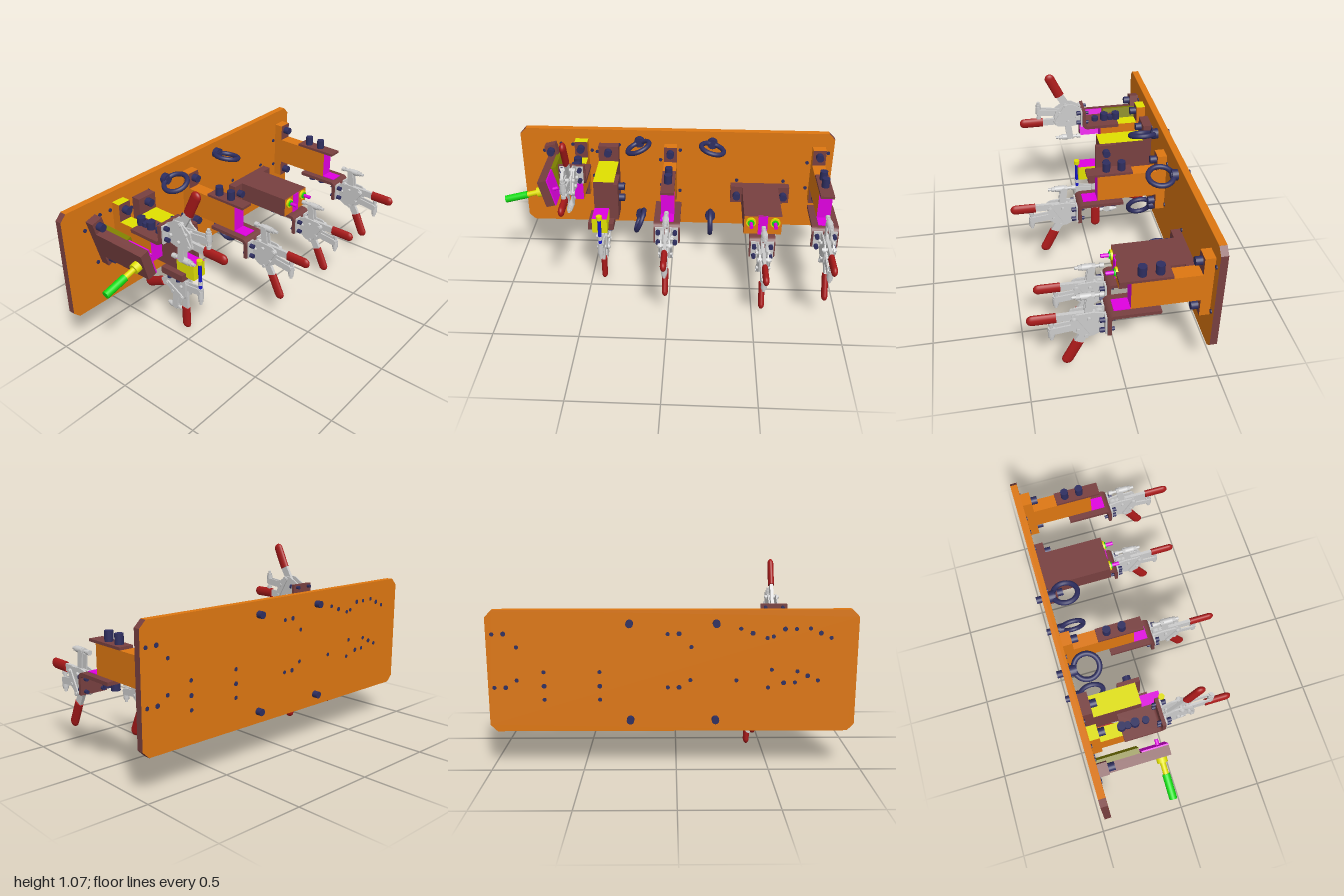
import * as THREE from 'three';

const mat = (color) => new THREE.MeshStandardMaterial({ color });
const GREY = mat(0xcccccc), ORANGE = mat(0xdd7711), BROWN = mat(0x784040), NAVY = mat(0x2e2e60);
const RED = mat(0xaa1a1a), YELLOW = mat(0xe0e000), OLIVE = mat(0x808000), GREEN = mat(0x11dd11);
const BLUE = mat(0x1515cc), MAGENTA = mat(0xe000e0);
const PLATE_Z = -0.43;

function add(parent, name, geo, material) {
  const m = new THREE.Mesh(geo, material);
  m.name = name;
  parent.add(m);
  return m;
}
// Box from min/max ranges; material may be a list for +x,-x,+y,-y,+z,-z
function box(parent, name, material, [x0, x1], [y0, y1], [z0, z1]) {
  const m = add(parent, name, new THREE.BoxGeometry(x1 - x0, y1 - y0, z1 - z0), material);
  m.position.set((x0 + x1) / 2, (y0 + y1) / 2, (z0 + z1) / 2);
  return m;
}
// Cylinder between two points
function rod(parent, name, material, a, b, r, sides = 20) {
  const p = new THREE.Vector3(...a), q = new THREE.Vector3(...b), d = q.clone().sub(p);
  const m = add(parent, name, new THREE.CylinderGeometry(r, r, d.length(), sides), material);
  m.position.copy(p).add(q).multiplyScalar(0.5);
  m.quaternion.setFromUnitVectors(new THREE.Vector3(0, 1, 0), d.normalize());
  return m;
}
// Shape in the (z, y) plane extruded across x
function sideProfile(parent, name, material, shape, width, x = 0) {
  const geo = new THREE.ExtrudeGeometry(shape, { depth: width, bevelEnabled: false, curveSegments: 8 });
  geo.rotateY(-Math.PI / 2).translate(width / 2 + x, 0, 0);
  return add(parent, name, geo, material);
}
// Round-ended flat bar between two (z, y) points
function link(parent, name, material, p, q, r, width, x = 0) {
  const dir = Math.atan2(q[1] - p[1], q[0] - p[0]), s = new THREE.Shape();
  s.absarc(p[0], p[1], r, dir + Math.PI / 2, dir + Math.PI * 1.5);
  s.absarc(q[0], q[1], r, dir - Math.PI / 2, dir + Math.PI / 2);
  return sideProfile(parent, name, material, s, width, x);
}
// Flattened rounded red grip between two (z, y) points
function grip(parent, p, q) {
  const r = 0.03, d = new THREE.Vector3(0, q[1] - p[1], q[0] - p[0]), L = d.length();
  const m = add(parent, 'grip', new THREE.CapsuleGeometry(r, L - 2 * r, 8, 16), RED);
  // squared-off lower end
  const cuff = add(m, 'gripCuff', new THREE.CylinderGeometry(r, r, r, 16), RED);
  cuff.position.y = -L / 2 + r / 2;
  m.position.set(0, (p[1] + q[1]) / 2, (p[0] + q[0]) / 2);
  m.rotation.x = Math.atan2(d.z, d.y);
  m.scale.x = 0.6;
}
// Clamping spindle: a = tip, b = head
function spindle(parent, a, b) {
  const at = (t) => a.map((v, i) => v + (b[i] - v) * t);
  rod(parent, 'spindle', GREY, a, b, 0.009);
  rod(parent, 'spindleTip', GREY, a, at(0.15), 0.014);
  rod(parent, 'spindleNut', GREY, at(0.3), at(0.42), 0.018, 6);
  rod(parent, 'spindleHolder', GREY, at(0.42), at(0.75), 0.018);
  rod(parent, 'spindleNut', GREY, at(0.75), at(0.87), 0.016, 6);
}

// Toggle clamp on the face z = 0: y = 0 at the free edge of its mount, +y to the work
function toggleClamp() {
  const g = new THREE.Group();
  g.name = 'toggleClamp';
  for (const s of [-1, 1]) {
    box(g, 'baseFoot', GREY, s > 0 ? [0.018, 0.068] : [-0.068, -0.018], [0.003, 0.11], [0, 0.01]);
    for (const y of [0.018, 0.085]) {
      rod(g, 'baseBolt', NAVY, [s * 0.05, y, 0.01], [s * 0.05, y, 0.035], 0.013);
      rod(g, 'baseBoltEnd', NAVY, [s * 0.05, y, -0.04], [s * 0.05, y, 0], 0.01);
    }
    const cheek = new THREE.Shape([[0, 0], [0.06, -0.035], [0.1, -0.04], [0.165, 0.005], [0.18, 0.09],
      [0.15, 0.115], [0.06, 0.12], [0, 0.105]].map((p) => new THREE.Vector2(...p)));
    sideProfile(g, 'bodyCheek', GREY, cheek, 0.009, s * 0.024);
    link(g, 'openArmBar', GREY, [0.1, 0.03], [0.26, 0.012], 0.02, 0.008, s * 0.014);
    link(g, 'closedArmBar', GREY, [0.09, 0.08], [0.075, 0.2], 0.02, 0.008, s * 0.014);
    link(g, 'toggleLink', GREY, [0.1, -0.02], [0.16, 0.085], 0.016, 0.008, s * 0.033);
  }
  for (const [z, y] of [[0.1, -0.025], [0.14, 0.02], [0.16, 0.088], [0.085, 0.085], [0.03, 0.06]]) {
    rod(g, 'pivotPin', GREY, [-0.042, y, z], [0.042, y, z], 0.011, 14);
  }
  link(g, 'handleBar', GREY, [0.03, 0.09], [0.15, -0.115], 0.023, 0.018);
  grip(g, [0.135, -0.09], [0.205, -0.235]);
  link(g, 'handleBar', GREY, [0.06, 0.088], [0.26, 0.088], 0.021, 0.018);
  grip(g, [0.245, 0.088], [0.392, 0.088]);
  spindle(g, [0, 0.21, 0.005], [0, 0.21, 0.165]);
  spindle(g, [0, 0.06, 0.27], [0, -0.055, 0.27]);
  return g;
}

// Bent L bracket carrying the clamp
function clampBracket(parent, length = 0.25) {
  const s = new THREE.Shape(), t = 0.02, h = 0.125, R = 0.035;
  s.moveTo(0, 0);
  s.lineTo(0, h - R);
  s.absarc(-R, h - R, R, 0, Math.PI / 2);
  s.lineTo(-length, h);
  s.lineTo(-length, h - t);
  s.lineTo(-R, h - t);
  s.absarc(-R, h - R, R - t, Math.PI / 2, 0, true);
  s.lineTo(-t, 0);
  sideProfile(parent, 'clampBracket', BROWN, s, 0.155);
  for (const z of [-0.15, -0.225]) rod(parent, 'bracketBolt', NAVY, [0, h - t - 0.045, z], [0, h - t, z], 0.024);
}

// Bolt through a flange and the back plate
function flangeBolt(parent, x, y, plateZ, r = 0.023) {
  rod(parent, 'flangeBolt', NAVY, [x, y, plateZ + 0.055], [x, y, plateZ + 0.092], r);
  rod(parent, 'flangeBoltEnd', NAVY, [x, y, plateZ - 0.041], [x, y, plateZ - 0.03], 0.013);
}
function dowel(parent, x, y, plateZ) {
  rod(parent, 'dowel', NAVY, [x, y, plateZ - 0.041], [x, y, plateZ + 0.006], 0.011, 14);
}

// Arm with rest pad, stop plate, bracket and clamp; D = distance from plate to bracket face
function armStation(x, y, z, flipped) {
  const g = new THREE.Group(), D = z - PLATE_Z, w = [-0.04, 0.04];
  g.name = 'armStation';
  const low = flipped ? YELLOW : ORANGE;
  box(g, 'flange', [ORANGE, ORANGE, ORANGE, low, BROWN, ORANGE], w, [0.02, 0.39], [-D, 0.055 - D]);
  box(g, 'arm', [ORANGE, ORANGE, ORANGE, low, MAGENTA, ORANGE], w, [0.126, 0.29], [0.05 - D, -0.12]);
  box(g, 'restPad', MAGENTA, w, [0.125, 0.129], [-0.12, -0.035]);
  if (!flipped) {
    box(g, 'stopPlate', BROWN, w, [0.29, 0.305], [-0.33, -0.06]);
    for (const v of [-0.18, -0.27]) rod(g, 'stopBolt', NAVY, [0, 0.305, v], [0, 0.36, v], 0.023);
  } else {
    for (const v of [-0.09, -0.19]) rod(g, 'bracketBoltEnd', NAVY, [0, 0.08, v], [0, 0.105, v], 0.02);
  }
  clampBracket(g, flipped ? 0.23 : 0.27);
  flangeBolt(g, 0, 0.352, -D);
  flangeBolt(g, 0, 0.06, -D);
  for (const [dx, dy] of [[0.06, 0.35], [-0.065, 0.28], [0.06, 0.06], [-0.06, 0.1]]) dowel(g, dx, dy, -D);
  g.add(toggleClamp());
  g.position.set(x, y, z);
  if (flipped) g.rotation.z = Math.PI;
  return g;
}

// Wide block with two locating pins
function wideStation() {
  const g = new THREE.Group(), x = 0.555;
  g.name = 'wideStation';
  box(g, 'wideFlange', BROWN, [x - 0.185, x + 0.185], [0.375, 0.487], [PLATE_Z, -0.375]);
  box(g, 'wideBody', [BROWN, BROWN, BROWN, BROWN, ORANGE, BROWN], [x - 0.113, x + 0.113], [0.365, 0.487], [-0.38, -0.02]);
  box(g, 'restPad', MAGENTA, [x - 0.028, x + 0.028], [0.362, 0.487], [-0.03, -0.015]);
  for (const s of [-1, 1]) {
    const px = x + s * 0.072;
    rod(g, 'pinCollar', YELLOW, [px, 0.449, -0.02], [px, 0.449, -0.008], 0.03);
    rod(g, 'pinWasher', GREEN, [px, 0.449, -0.008], [px, 0.449, 0], 0.02);
    rod(g, 'locatingPin', MAGENTA, [px, 0.449, 0], [px, 0.449, 0.045], 0.011);
    flangeBolt(g, x + s * 0.148, 0.43, PLATE_Z);
    for (const dy of [0.355, 0.507]) dowel(g, x + s * 0.148, dy, PLATE_Z);
  }
  const mount = new THREE.Group();
  mount.name = 'clampMount';
  clampBracket(mount);
  mount.add(toggleClamp());
  mount.position.set(x, 0.237, 0.035);
  g.add(mount);
  return g;
}

// Block with a ledge, an upright pin and a clamp hung underneath
function ledgeStation() {
  const g = new THREE.Group(), w = [-0.465, -0.34];
  g.name = 'ledgeStation';
  box(g, 'flange', BROWN, w, [0.4, 0.75], [PLATE_Z, -0.375]);
  box(g, 'arm', [BROWN, BROWN, YELLOW, BROWN, BROWN, BROWN], w, [0.4, 0.65], [-0.38, -0.1]);
  box(g, 'ledge', [YELLOW, YELLOW, MAGENTA, YELLOW, YELLOW, YELLOW], [-0.465, -0.375], [0.375, 0.47], [-0.11, 0.03]);
  box(g, 'sidePlate', BROWN, [-0.34, -0.315], [0.41, 0.65], [-0.2, -0.07]);
  for (const y of [0.605, 0.53]) rod(g, 'sideBolt', NAVY, [-0.315, y, -0.135], [-0.28, y, -0.135], 0.023);
  box(g, 'underPlate', BROWN, [-0.5, -0.345], [0.358, 0.4], [-0.19, -0.03]);
  rod(g, 'uprightPin', BLUE, [-0.42, 0.23, 0.035], [-0.42, 0.49, 0.035], 0.011);
  rod(g, 'pinCap', YELLOW, [-0.42, 0.47, 0.035], [-0.42, 0.495, 0.035], 0.018);
  flangeBolt(g, -0.403, 0.716, PLATE_Z);
  for (const [x, y] of [[-0.34, 0.74], [-0.48, 0.69], [-0.32, 0.46], [-0.49, 0.42]]) dowel(g, x, y, PLATE_Z);
  const c = toggleClamp();
  c.position.set(-0.42, 0.358, -0.175);
  c.rotation.x = Math.PI / 2;
  g.add(c);
  return g;
}

// Tilted block with a hand plunger
function plungerStation() {
  const g = new THREE.Group();
  g.name = 'plungerStation';
  box(g, 'flange', BROWN, [-0.035, 0.035], [-0.155, 0.155], [PLATE_Z, -0.375]);
  box(g, 'arm', BROWN, [-0.035, 0.02], [-0.085, 0.085], [-0.38, -0.03]);
  box(g, 'sidePlate', OLIVE, [0.02, 0.05], [-0.085, 0.085], [-0.43, -0.19]);
  box(g, 'wearPad', MAGENTA, [0.02, 0.028], [-0.085, 0.085], [-0.18, -0.03]);
  rod(g, 'plungerKnob', GREEN, [-0.275, 0, -0.08], [-0.135, 0, -0.08], 0.022);
  rod(g, 'plungerNeck', YELLOW, [-0.135, 0, -0.08], [-0.07, 0, -0.08], 0.016);
  rod(g, 'plungerCollar', YELLOW, [-0.07, 0, -0.08], [-0.035, 0, -0.08], 0.03);
  rod(g, 'plungerPin', MAGENTA, [0.02, 0, -0.08], [0.06, 0, -0.08], 0.011);
  for (const s of [-1, 1]) {
    flangeBolt(g, 0, s * 0.12, PLATE_Z);
    dowel(g, s * 0.06, s * 0.13, PLATE_Z);
    dowel(g, -s * 0.06, s * 0.11, PLATE_Z);
  }
  g.position.set(-0.73, 0.6, 0);
  g.rotation.z = 0.26;
  return g;
}

// Lifting eye whose ring plane is turned about its shank
function liftingEye(x, y, degrees) {
  const g = new THREE.Group();
  g.name = 'liftingEye';
  const ring = add(g, 'ring', new THREE.TorusGeometry(0.071, 0.015, 12, 36), NAVY);
  ring.rotation.x = Math.PI / 2;
  ring.position.z = -0.335;
  rod(g, 'collar', NAVY, [0, 0, -0.43], [0, 0, -0.395], 0.032);
  rod(g, 'shank', NAVY, [0, 0, -0.502], [0, 0, -0.39], 0.02);
  g.position.set(x, y, 0);
  g.rotation.z = THREE.MathUtils.degToRad(degrees);
  return g;
}

export function createModel() {
  const model = new THREE.Group();
  model.name = 'clampingFixture';

  // Back plate with clipped corners
  const c = 0.037, [x0, x1, y0, y1] = [-0.96, 1, 0.178, 0.84];
  const outline = new THREE.Shape([[x0 + c, y0], [x1 - c, y0], [x1, y0 + c], [x1, y1 - c],
    [x1 - c, y1], [x0 + c, y1], [x0, y1 - c], [x0, y0 + c]].map((p) => new THREE.Vector2(...p)));
  const geo = new THREE.ExtrudeGeometry(outline, { depth: 0.04, bevelEnabled: false }).translate(0, 0, -0.47);
  add(model, 'backPlate', geo, [ORANGE, BROWN]);
  box(model, 'backPlateTopEdge', ORANGE, [x0 + c, x1 - c], [y1 - 0.01, y1 + 0.001], [-0.47, -0.43]);

  model.add(armStation(-0.015, 0.362, 0.1, false), armStation(0.907, 0.362, 0.1, false));
  model.add(armStation(-0.572, 0.798, -0.02, true));
  model.add(wideStation(), ledgeStation(), plungerStation());
  model.add(liftingEye(-0.21, 0.77, 22), liftingEye(0.245, 0.77, -15));
  model.add(liftingEye(-0.21, 0.245, 68), liftingEye(0.245, 0.245, 90));
  return model;
}
